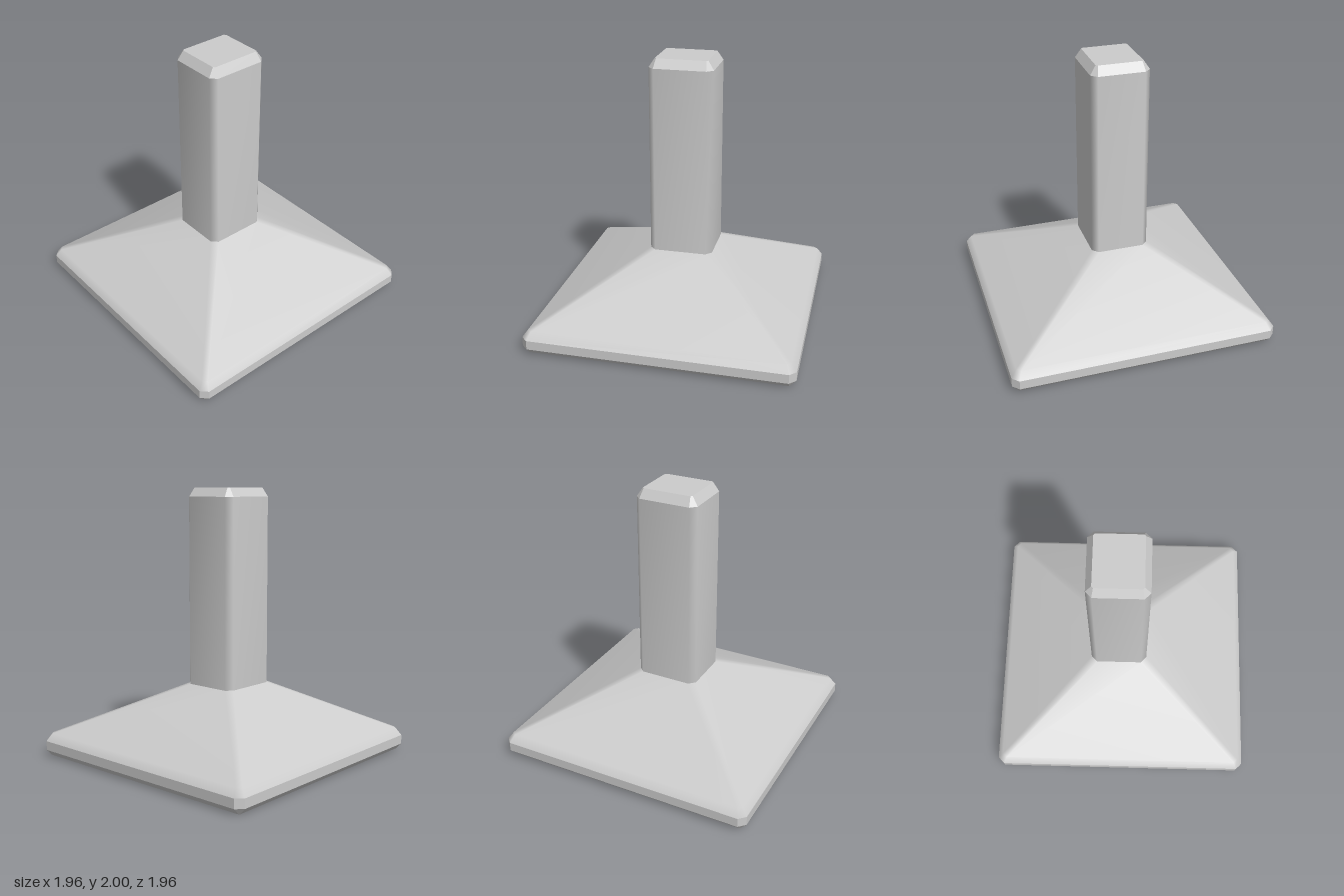
import * as THREE from 'three';

// Ring: [y, half width in x, half depth in z, corner chamfer, centre x]
function ringPoints([y, w, d, c, cx = 0]) {
  return [
    [w - c, d], [w, d - c], [w, -d + c], [w - c, -d],
    [-w + c, -d], [-w, -d + c], [-w, d - c], [-w + c, d],
  ].map(([x, z]) => [x + cx, y, z]);
}

// Skins a stack of chamfered rectangles, with optional flat caps
function loft(name, rings, { flat = false, top = false, bottom = false } = {}) {
  const positions = rings.flatMap(ringPoints).flat();
  const index = [];
  const n = 8;
  for (let r = 0; r < rings.length - 1; r++) {
    for (let i = 0; i < n; i++) {
      const a = r * n + i, b = r * n + (i + 1) % n;
      index.push(a, b, b + n, a, b + n, a + n);
    }
  }
  const last = (rings.length - 1) * n;
  for (let i = 1; i < n - 1; i++) {
    if (bottom) index.push(0, i + 1, i);
    if (top) index.push(last, last + i, last + i + 1);
  }
  let geometry = new THREE.BufferGeometry();
  geometry.setAttribute('position', new THREE.Float32BufferAttribute(positions, 3));
  geometry.setIndex(index);
  if (flat) geometry = geometry.toNonIndexed();
  // Area-weighted normals keep wide faces even and soften the narrow chamfers
  geometry.computeVertexNormals();
  const mesh = new THREE.Mesh(geometry, new THREE.MeshStandardMaterial({ color: 0xcccccc }));
  mesh.name = name;
  return mesh;
}

export function createModel() {
  const model = new THREE.Group();
  model.name = 'rangeHood';
  const cx = -0.025;
  const column = [0.215, 0.235, 0.043, cx];

  // Square rim with a bevelled lower edge and closed underside
  model.add(loft('rim', [
    [0, 0.935, 0.935, 0.003],
    [0.047, 0.98, 0.98, 0.047],
    [0.115, 0.98, 0.98, 0.047],
  ], { flat: true, bottom: true }));

  // Sloping canopy with softened hips
  model.add(loft('canopy', [
    [0.115, 0.98, 0.98, 0.047],
    [0.17, 0.94, 0.94, 0.03],
    [0.547, ...column],
  ]));

  // Chimney shaft with chamfered corners
  model.add(loft('chimney', [[0.54, ...column], [1.935, ...column]]));

  // Bevelled chimney top
  model.add(loft('chimneyTop', [
    [1.935, ...column],
    [2, 0.172, 0.192, 0.012, cx],
  ], { flat: true, top: true }));

  return model;
}
